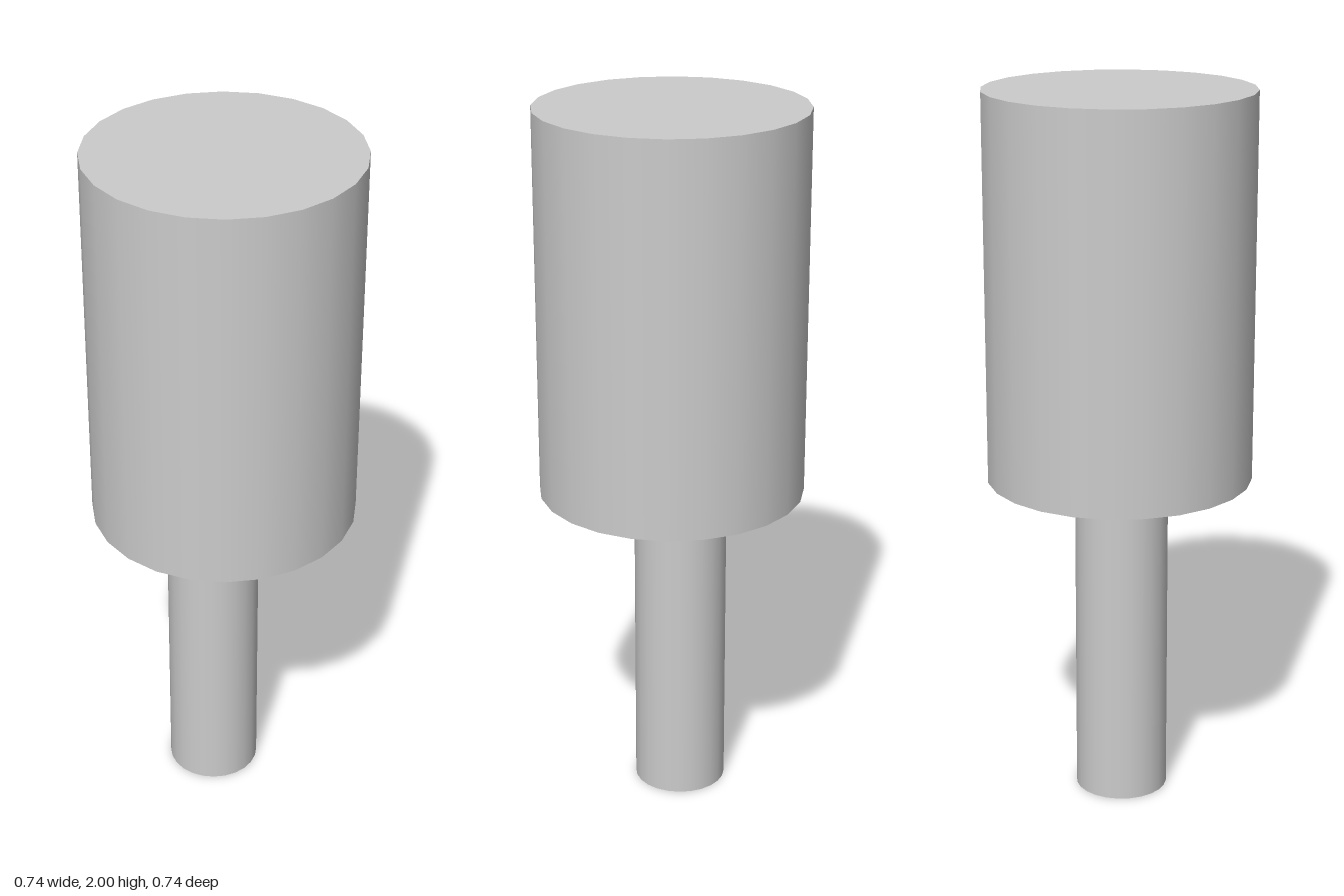
import * as THREE from 'three';

const SIDES = 24;
const material = new THREE.MeshStandardMaterial({ color: 0xcccccc });

// Upright closed cylinder spanning bottom..top
function upright(name, radius, bottom, top, x, z) {
  const geometry = new THREE.CylinderGeometry(radius, radius, top - bottom, SIDES);
  const mesh = new THREE.Mesh(geometry, material);
  mesh.name = name;
  mesh.position.set(x, (bottom + top) / 2, z);
  return mesh;
}

export function createModel() {
  const model = new THREE.Group();
  model.name = 'mallet';

  // Wide head on top
  model.add(upright('head', 0.37, 0.922, 2, 0, 0));

  // Thin handle, set slightly off the head's axis
  model.add(upright('handle', 0.13, 0, 0.922, -0.032, 0.008));

  return model;
}
